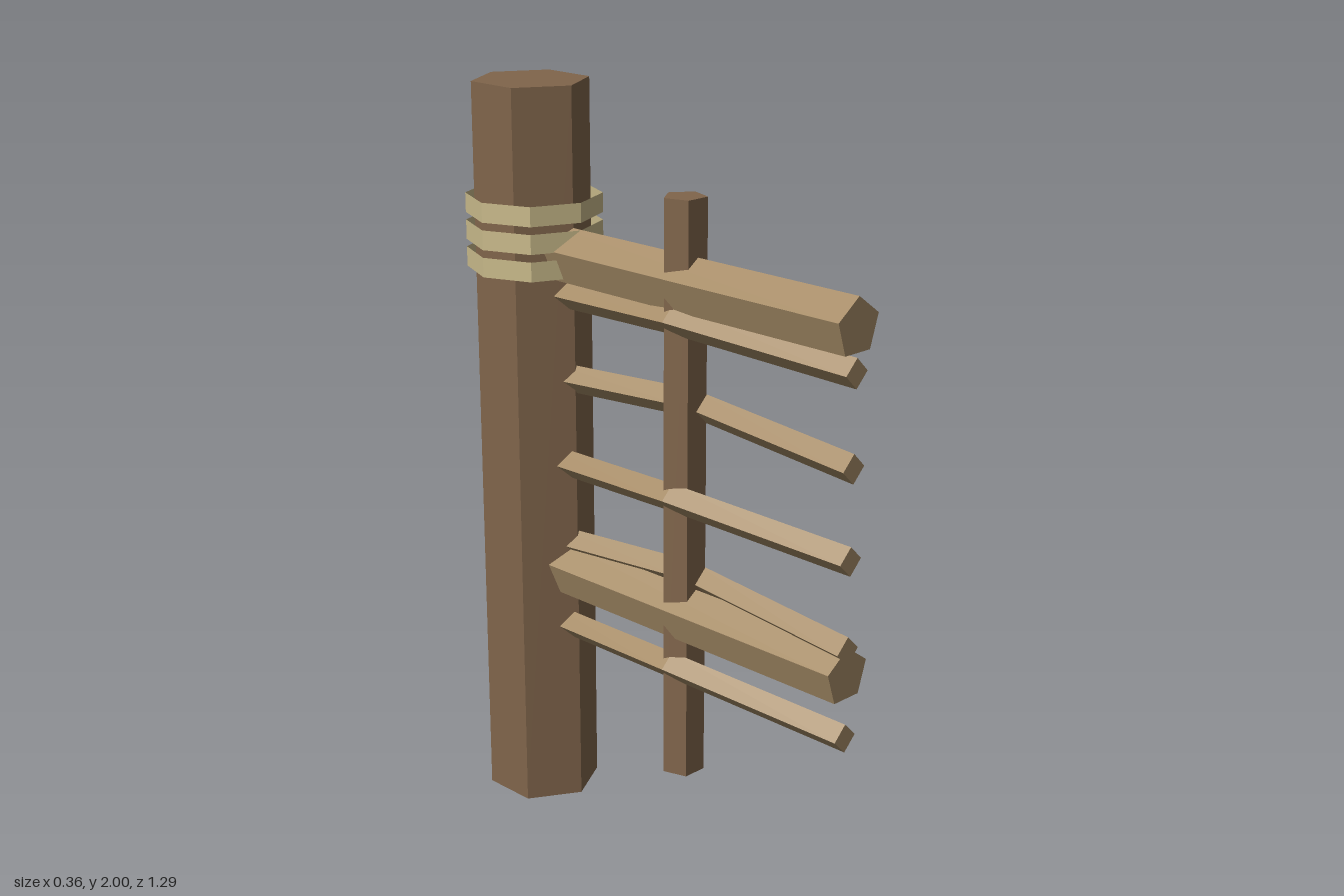
import * as THREE from 'three';

const postWood = new THREE.MeshStandardMaterial({ color: 0x80654b });
postWood.name = 'dark wood';
const railWood = new THREE.MeshStandardMaterial({ color: 0xa58b66 });
railWood.name = 'light wood';
const ropeTan = new THREE.MeshStandardMaterial({ color: 0xcabb8b, side: THREE.DoubleSide });
ropeTan.name = 'rope';

const POST_Z = -0.47;
const STAKE_Z = 0.087;
const LENGTH = 1.12; // rails and rungs, centred on the stake

// Gives every face its own normal for a faceted look
function faceted(geometry) {
  const flat = geometry.toNonIndexed();
  flat.computeVertexNormals();
  return flat;
}

export function createModel() {
  const model = new THREE.Group();
  model.name = 'fenceGate';

  const add = (name, geometry, material, x, y, z) => {
    const mesh = new THREE.Mesh(faceted(geometry), material);
    mesh.name = name;
    mesh.position.set(x, y, z);
    model.add(mesh);
  };

  // Hexagonal main post
  add('post', new THREE.CylinderGeometry(0.155, 0.155, 2, 6), postWood, 0, 1, POST_Z);

  // Thin five-sided upright, point towards the post
  add('stake', new THREE.CylinderGeometry(0.057, 0.057, 1.55, 5, 1, false, Math.PI),
    postWood, 0, 1.005, STAKE_Z);

  // Two five-sided rails running into the post, point up
  for (const y of [1.56, 0.683]) {
    const rail = new THREE.CylinderGeometry(0.0745, 0.0745, LENGTH, 5).rotateX(-Math.PI / 2);
    add('rail', rail, railWood, 0, y, STAKE_Z - 0.002);
  }

  // Square rungs woven around the stake, bent up and to alternate sides
  for (let i = 0; i < 5; i++) {
    const rung = new THREE.CylinderGeometry(0.038, 0.038, LENGTH, 4, 2).rotateX(-Math.PI / 2);
    const p = rung.attributes.position;
    const side = i % 2 ? 1 : -1;
    for (let v = 0; v < p.count; v++) {
      if (Math.abs(p.getZ(v)) < 0.1) p.setXY(v, p.getX(v) + side * 0.038, p.getY(v) + 0.026);
    }
    add('rung', rung, railWood, 0, 1.45 - i * 0.234, STAKE_Z - 0.002);
  }

  // Three open rope bands around the post
  for (let i = 0; i < 3; i++) {
    add('ropeBand', new THREE.CylinderGeometry(0.18, 0.18, 0.052, 8, 1, true),
      ropeTan, 0, 1.535 + i * 0.072, POST_Z + 0.005);
  }

  return model;
}
